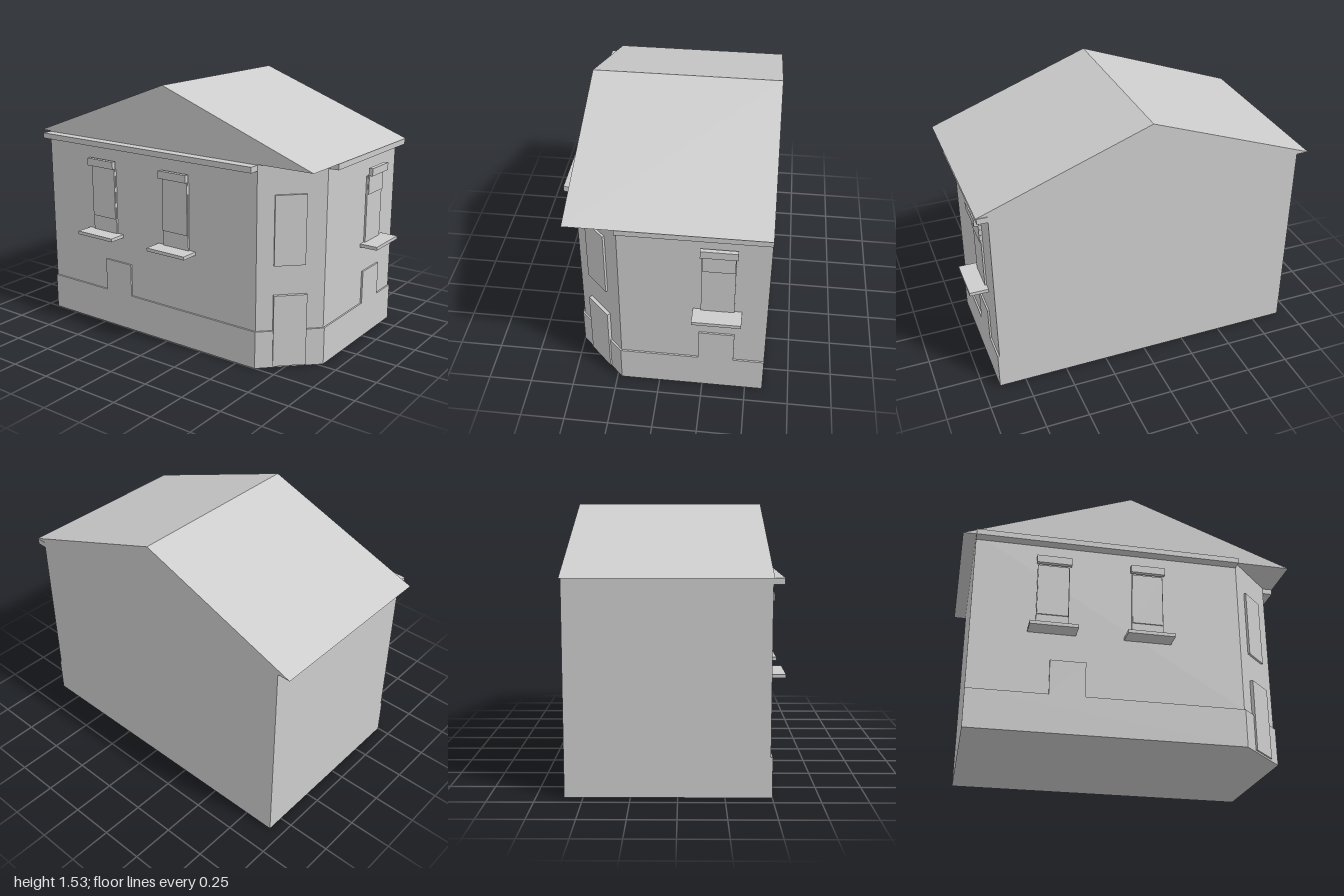
import * as THREE from 'three';

const grey = new THREE.MeshStandardMaterial({ color: 0xcccccc });
grey.name = 'plain grey';

// Wall planes
const LEFT = -0.49, RIGHT = 0.6, FRONT = 0.895, BACK = -0.925;
const CUT_X = -0.22, CUT_Z = 0.62; // ends of the cut corner
const EAVE = 1.168, PLINTH = 0.22, PROUD = 0.01;

function add(parent, name, geometry) {
  const mesh = new THREE.Mesh(geometry, grey);
  mesh.name = name;
  parent.add(mesh);
  return mesh;
}

// Box given by its limits on each axis
function box(parent, name, x0, x1, y0, y1, z0, z1) {
  const mesh = add(parent, name, new THREE.BoxGeometry(x1 - x0, y1 - y0, z1 - z0));
  mesh.position.set((x0 + x1) / 2, (y0 + y1) / 2, (z0 + z1) / 2);
  return mesh;
}

// House footprint with one cut corner, extruded upwards
function storey(parent, name, proud, y0, y1) {
  const l = LEFT - proud, f = FRONT + proud, c = proud * 0.41;
  const shape = new THREE.Shape([
    [RIGHT, BACK], [RIGHT, f], [CUT_X - c, f], [l, CUT_Z + c], [l, BACK],
  ].map(([x, z]) => new THREE.Vector2(x, -z)));
  const g = new THREE.ExtrudeGeometry(shape, { depth: y1 - y0, bevelEnabled: false });
  g.rotateX(-Math.PI / 2).translate(0, y0, 0);
  add(parent, name, g);
}

// Local frame on a wall: x runs along it, z points outwards
function wallFrame(parent, name, x, z, angle) {
  const frame = new THREE.Group();
  frame.name = name;
  frame.position.set(x, 0, z);
  frame.rotation.y = angle;
  parent.add(frame);
  return frame;
}

// Window with pane, blind, lintel standing clear of the wall, and deep sill
function addWindow(wall, x, blindBottom) {
  const w = new THREE.Group();
  w.name = 'window';
  w.position.x = x;
  wall.add(w);
  box(w, 'pane', -0.092, 0.092, 0.6, 1.0, 0, 0.01);
  box(w, 'blind', -0.089, 0.089, blindBottom, 1.0, 0.01, 0.017);
  box(w, 'lintel', -0.1, 0.1, 1.005, 1.05, 0.017, 0.042);
  box(w, 'sill', -0.135, 0.135, 0.58, 0.6, 0, 0.108);
}

export function createModel() {
  const house = new THREE.Group();
  house.name = 'house';

  storey(house, 'plinth', PROUD, 0, PLINTH);
  storey(house, 'walls', 0, PLINTH, EAVE);

  // Gabled roof, flush at both gables and overhanging at the eaves
  const gable = new THREE.Shape([
    new THREE.Vector2(-0.96, EAVE), new THREE.Vector2(1.0, EAVE), new THREE.Vector2(0.02, 1.53),
  ]);
  const roof = new THREE.ExtrudeGeometry(gable, { depth: RIGHT - LEFT, bevelEnabled: false });
  roof.rotateY(Math.PI / 2).translate(LEFT, 0, 0);
  add(house, 'roof', roof);

  // Front wall
  const front = wallFrame(house, 'frontWall', 0, FRONT, 0);
  addWindow(front, 0.325, 0.89);
  box(front, 'hatch', 0.225, 0.425, PLINTH, 0.42, 0, PROUD);
  box(front, 'cornice', CUT_X, RIGHT, 1.132, EAVE - 0.003, 0, 0.06);

  // Left wall, local x = world z
  const side = wallFrame(house, 'sideWall', LEFT, 0, -Math.PI / 2);
  for (const z of [-0.475, 0.07]) addWindow(side, z, 0.69);
  box(side, 'hatch', -0.48, -0.28, PLINTH, 0.42, 0, PROUD);
  box(side, 'cornice', BACK, CUT_Z, 1.132, EAVE - 0.003, 0, 0.06);

  // Cut corner with door and upper window
  const corner = wallFrame(house, 'cutCorner', (LEFT + CUT_X) / 2, (FRONT + CUT_Z) / 2,
    -Math.atan2(FRONT - CUT_Z, CUT_X - LEFT));
  box(corner, 'door', -0.096, 0.092, 0.01, 0.43, 0, 0.02);
  box(corner, 'cornerWindow', -0.096, 0.08, 0.6, 1.0, 0, 0.013);

  return house;
}
